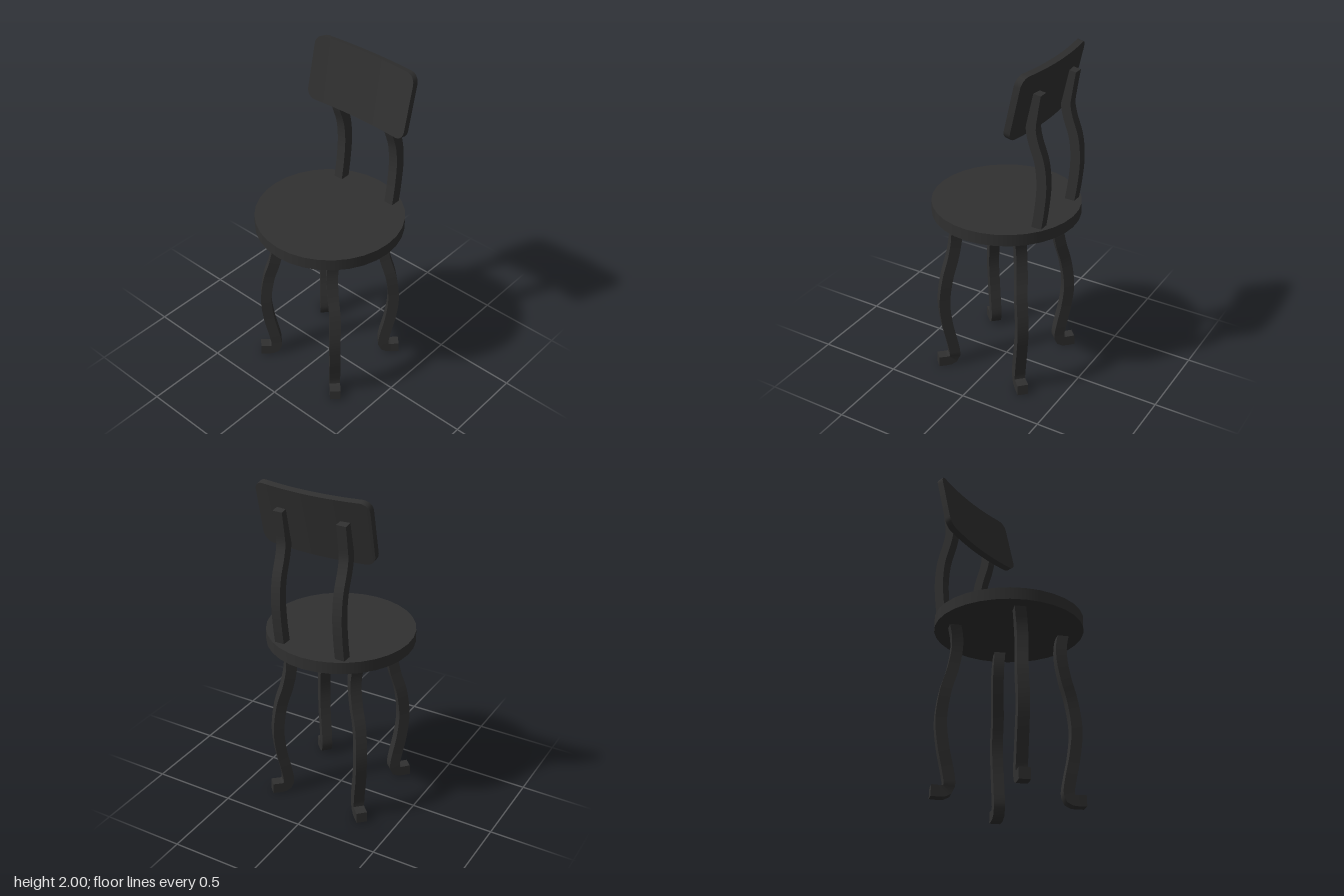
import * as THREE from 'three';
import { toCreasedNormals } from 'three/addons/utils/BufferGeometryUtils.js';

const material = new THREE.MeshStandardMaterial({ color: 0x303030 });

// Skin a row of four-cornered rings and cap both ends
function loft(rings) {
  const positions = [], index = [];
  rings.forEach(ring => ring.forEach(p => positions.push(p.x, p.y, p.z)));
  for (let i = 0; i < rings.length - 1; i++) {
    for (let j = 0; j < 4; j++) {
      const a = i * 4 + j, b = i * 4 + (j + 1) % 4;
      index.push(a, b, b + 4, a, b + 4, a + 4);
    }
  }
  const e = (rings.length - 1) * 4;
  index.push(0, 2, 1, 0, 3, 2, e, e + 1, e + 2, e, e + 2, e + 3);
  const geometry = new THREE.BufferGeometry();
  geometry.setAttribute('position', new THREE.Float32BufferAttribute(positions, 3));
  geometry.setIndex(index);
  return toCreasedNormals(geometry, 0.7);
}

// Rectangular bar swept along a curve; "side" is the fixed width direction
function bar(points, side, width, depth, steps) {
  const curve = new THREE.CatmullRomCurve3(points);
  const rings = [];
  for (let i = 0; i <= steps; i++) {
    const p = curve.getPointAt(i / steps), t = curve.getTangentAt(i / steps);
    const b = t.clone().cross(side).normalize();
    const w = b.clone().cross(t).normalize();
    rings.push([[1, -1], [1, 1], [-1, 1], [-1, -1]].map(([u, v]) =>
      p.clone().addScaledVector(w, u * width / 2).addScaledVector(b, v * depth / 2)));
  }
  return loft(rings);
}

function add(group, name, geometry) {
  const mesh = new THREE.Mesh(geometry, material);
  mesh.name = name;
  group.add(mesh);
  return mesh;
}

export function createModel() {
  const chair = new THREE.Group();
  chair.name = 'chair';

  // Round seat
  add(chair, 'seat', new THREE.CylinderGeometry(0.43, 0.43, 0.07, 32)).position.y = 1.055;

  // Four S-curved legs, each ending in an outward-turned foot
  const legPath = [
    [0.236, 1.04, 0.219], [0.215, 0.95, 0.214], [0.212, 0.87, 0.217], [0.23, 0.75, 0.23],
    [0.263, 0.62, 0.25], [0.278, 0.45, 0.266], [0.27, 0.3, 0.255], [0.25, 0.16, 0.235],
    [0.243, 0.09, 0.227], [0.247, 0.055, 0.231], [0.265, 0.04, 0.25], [0.29, 0.04, 0.275],
    [0.312, 0.041, 0.297],
  ];
  for (const sx of [1, -1]) {
    for (const sz of [1, -1]) {
      const points = legPath.map(([x, y, z]) => new THREE.Vector3(sx * x, y, sz * z));
      const side = new THREE.Vector3(sx, 0, -sz).normalize();
      add(chair, (sz > 0 ? 'front' : 'back') + (sx > 0 ? 'Left' : 'Right') + 'Leg',
        bar(points, side, 0.064, 0.064, 48));
    }
  }

  // Two curved posts rising from the seat to the back of the backrest
  const postPath = [
    [1.06, -0.315], [1.2, -0.336], [1.35, -0.347], [1.48, -0.333], [1.6, -0.292],
    [1.67, -0.278], [1.76, -0.288], [1.87, -0.305],
  ];
  for (const s of [1, -1]) {
    const points = postPath.map(([y, z]) => new THREE.Vector3(s * 0.193, y, z));
    add(chair, s > 0 ? 'leftPost' : 'rightPost',
      bar(points, new THREE.Vector3(1, 0, 0), 0.058, 0.06, 32));
  }

  // Backrest: rounded panel, bowed so that its ends come forward, and tilted back
  const halfWidth = 0.346, halfHeight = 0.188, radius = 0.055, thickness = 0.038;
  const stations = [];
  for (let i = 0; i <= 6; i++) {
    const a = i / 6 * Math.PI / 2;
    stations.push([-halfWidth + radius * (1 - Math.cos(a)), halfHeight - radius * (1 - Math.sin(a))]);
  }
  const flat = halfWidth - radius;
  for (let i = 1; i < 12; i++) stations.push([-flat + 2 * flat * i / 12, halfHeight]);
  for (let i = 6; i >= 0; i--) stations.push([-stations[i][0], stations[i][1]]);
  const rings = stations.map(([x, h]) => {
    const z = 0.028 * (x / halfWidth) ** 2, t = thickness / 2;
    return [[h, -t], [h, t], [-h, t], [-h, -t]].map(([y, d]) => new THREE.Vector3(x, y, z + d));
  });
  const backrest = add(chair, 'backrest', loft(rings));
  backrest.position.set(0.008, 1.812, -0.269);
  backrest.rotation.x = -0.222;

  return chair;
}
